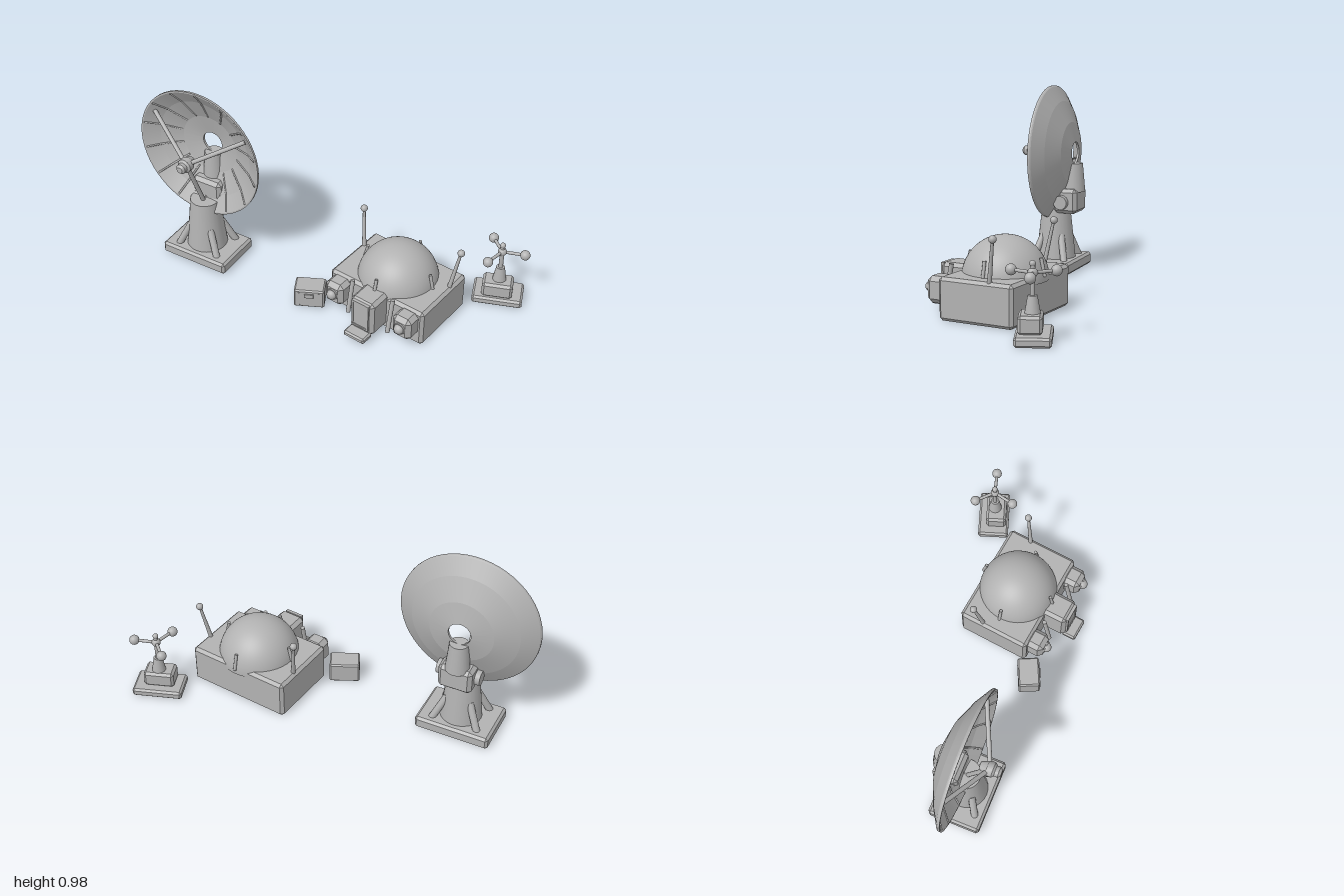
import * as THREE from 'three';
import { toCreasedNormals } from 'three/addons/utils/BufferGeometryUtils.js';
import { ConvexGeometry } from 'three/addons/geometries/ConvexGeometry.js';

const grey = new THREE.MeshStandardMaterial({ color: 0xb2b2b2 });
grey.name = 'plain grey';

const V = (x, y, z) => new THREE.Vector3(x, y, z);

function add(parent, name, geometry, x = 0, y = 0, z = 0) {
  const mesh = new THREE.Mesh(geometry, grey);
  mesh.name = name;
  mesh.position.set(x, y, z);
  parent.add(mesh);
  return mesh;
}

// Box with all edges cut off by c
function chamferBox(w, h, d, c) {
  const points = [];
  for (const sx of [-1, 1]) for (const sy of [-1, 1]) for (const sz of [-1, 1]) {
    const x = w / 2, y = h / 2, z = d / 2;
    points.push(V(sx * x, sy * (y - c), sz * (z - c)));
    points.push(V(sx * (x - c), sy * y, sz * (z - c)));
    points.push(V(sx * (x - c), sy * (y - c), sz * z));
  }
  return new ConvexGeometry(points);
}

// Round bar between two points
function rod(parent, name, a, b, ra, rb = ra, sides = 12) {
  const mesh = add(parent, name, new THREE.CylinderGeometry(rb, ra, a.distanceTo(b), sides));
  mesh.position.copy(a).add(b).multiplyScalar(0.5);
  mesh.quaternion.setFromUnitVectors(V(0, 1, 0), b.clone().sub(a).normalize());
  return mesh;
}

function ball(parent, name, r, x, y, z) {
  return add(parent, name, new THREE.SphereGeometry(r, 20, 14), x, y, z);
}

function station(root, name, x, z, yaw) {
  const g = new THREE.Group();
  g.name = name;
  g.position.set(x, 0, z);
  g.rotation.y = yaw;
  root.add(g);
  return g;
}

// Turned shape whose axis points along +z, with crisp rings
function turned(profile, segments, crease) {
  const geo = new THREE.LatheGeometry(profile.map(([r, y]) => new THREE.Vector2(r, y)), segments);
  return toCreasedNormals(geo.rotateX(Math.PI / 2), crease);
}

function buildDishTower(root) {
  const g = station(root, 'dishTower', -0.65, -0.067, -0.186);
  add(g, 'towerBase', chamferBox(0.38, 0.065, 0.27, 0.012), 0, 0.0325, 0);
  add(g, 'towerColumn', new THREE.CylinderGeometry(0.075, 0.105, 0.28, 24), 0, 0.2, 0);
  for (const sx of [-1, 1]) for (const sz of [-1, 1])
    rod(g, 'columnBrace', V(sx * 0.12, 0.05, sz * 0.09), V(sx * 0.058, 0.19, sz * 0.05), 0.018);

  // Mount that carries the dish
  add(g, 'mountBox', chamferBox(0.17, 0.13, 0.13, 0.018), 0, 0.375, -0.075);
  for (const s of [-1, 1])
    rod(g, 'mountBearing', V(s * 0.07, 0.37, -0.06), V(s * 0.11, 0.37, -0.06), 0.04, 0.036, 16);
  add(g, 'mountPost', new THREE.CylinderGeometry(0.046, 0.06, 0.15, 24), 0, 0.497, -0.1);

  const dish = new THREE.Group();
  dish.name = 'dish';
  dish.position.set(0, 0.628, 0.018);
  g.add(dish);
  add(dish, 'dishBowl', turned([
    [0.056, -0.125], [0.16, -0.102], [0.27, -0.053], [0.346, -0.006], [0.35, 0], [0.35, 0.01],
    [0.342, 0.01], [0.268, -0.041], [0.16, -0.09], [0.056, -0.113], [0.056, -0.125]], 56, 0.11));

  // Ribs following the inside of the bowl
  for (let i = 0; i < 14; i++) {
    const a = Math.PI / 2 + (i / 14) * Math.PI * 2;
    const at = (r, z) => V(Math.cos(a) * r, Math.sin(a) * r, z);
    rod(dish, 'dishRib', at(0.165, -0.088), at(0.268, -0.041), 0.005, 0.005, 6);
    rod(dish, 'dishRib', at(0.268, -0.041), at(0.338, 0.008), 0.005, 0.005, 6);
  }

  // Receiver on three struts
  add(dish, 'receiver', turned([
    [0, 0.06], [0.02, 0.065], [0.03, 0.09], [0.037, 0.1], [0.037, 0.13],
    [0.026, 0.14], [0.026, 0.158], [0.016, 0.17], [0, 0.172]], 20, 0.5));
  for (const deg of [30, 150, 270]) {
    const a = deg * Math.PI / 180;
    rod(dish, 'receiverStrut', V(Math.cos(a) * 0.02, Math.sin(a) * 0.02, 0.105),
      V(Math.cos(a) * 0.31, Math.sin(a) * 0.31, -0.012), 0.011);
  }
}

function buildHabitat(root) {
  const g = station(root, 'domeBuilding', 0.404, -0.016, -0.306);
  add(g, 'buildingBody', chamferBox(0.55, 0.2, 0.38, 0.015), 0, 0.1, 0);
  add(g, 'dome', new THREE.SphereGeometry(0.202, 40, 20, 0, Math.PI * 2, 0, Math.PI / 2), 0, 0.164, 0);
  for (let i = 0; i < 4; i++) {
    const a = i * Math.PI / 2, c = Math.cos(a), s = Math.sin(a);
    rod(g, 'domePin', V(c * 0.205, 0.19, s * 0.205), V(c * 0.185, 0.275, s * 0.185), 0.008);
  }

  // Entrance with framed door and step
  add(g, 'entrance', chamferBox(0.135, 0.195, 0.15, 0.018), 0, 0.122, 0.232);
  add(g, 'door', chamferBox(0.085, 0.14, 0.008, 0.003), 0, 0.137, 0.309);
  for (const s of [-1, 1]) {
    add(g, 'doorJamb', new THREE.BoxGeometry(0.009, 0.15, 0.016), s * 0.044, 0.137, 0.309);
    add(g, 'doorLintel', new THREE.BoxGeometry(0.097, 0.009, 0.016), 0, 0.137 + s * 0.073, 0.309);
  }
  add(g, 'doorStep', chamferBox(0.12, 0.03, 0.075, 0.008), 0, 0.03, 0.33);

  for (const s of [-1, 1]) {
    // Window pods, handrails and aerials on both sides
    add(g, 'windowPod', chamferBox(0.105, 0.125, 0.1, 0.022), s * 0.2, 0.13, 0.22);
    rod(g, 'windowRing', V(s * 0.2, 0.135, 0.262), V(s * 0.2, 0.135, 0.276), 0.034, 0.03, 20);
    ball(g, 'windowLens', 0.026, s * 0.2, 0.135, 0.274);
    rod(g, 'handrail', V(s * 0.118, 0.05, 0.25), V(s * 0.118, 0.23, 0.215), 0.011);
    rod(g, 'aerial', V(s * 0.255, 0.19, -0.065), V(s * 0.286, 0.4, -0.1), 0.011, 0.007);
    ball(g, 'aerialTip', 0.018, s * 0.286, 0.397, -0.1);
  }
}

function buildCrate(root) {
  const g = station(root, 'supplyCrate', -0.007, 0.12, 0.24);
  add(g, 'crateBody', chamferBox(0.152, 0.105, 0.11, 0.007), 0, 0.0525, 0);
  add(g, 'crateLatch', new THREE.BoxGeometry(0.045, 0.022, 0.008), 0, 0.075, 0.057);
  for (const s of [-1, 1])
    add(g, 'crateStrap', new THREE.BoxGeometry(0.008, 0.085, 0.006), s * 0.05, 0.052, 0.056);
}

function buildWindGauge(root) {
  const g = station(root, 'windGauge', 0.864, -0.238, 0.14);
  add(g, 'gaugeBase', chamferBox(0.25, 0.043, 0.16, 0.01), 0, 0.0215, 0);
  add(g, 'gaugeBox', chamferBox(0.152, 0.082, 0.105, 0.012), -0.004, 0.08, 0.014);
  add(g, 'gaugeCone', new THREE.CylinderGeometry(0.021, 0.035, 0.08, 20), 0, 0.157, 0.006);
  rod(g, 'gaugeMast', V(0, 0.19, 0.006), V(0, 0.33, 0.006), 0.011);
  ball(g, 'mastTip', 0.014, 0, 0.332, 0.006);
  ball(g, 'armHub', 0.022, 0, 0.293, 0.006);
  for (let i = 0; i < 3; i++) {
    const a = 0.04 + i * Math.PI * 2 / 3;
    const x = Math.cos(a) * 0.112, z = 0.006 + Math.sin(a) * 0.112;
    rod(g, 'gaugeArm', V(0, 0.293, 0.006), V(x, 0.293, z), 0.008);
    ball(g, 'gaugeCup', 0.025, x, 0.293, z);
  }
}

export function createModel() {
  const root = new THREE.Group();
  root.name = 'outpost';
  buildDishTower(root);
  buildHabitat(root);
  buildCrate(root);
  buildWindGauge(root);
  return root;
}
